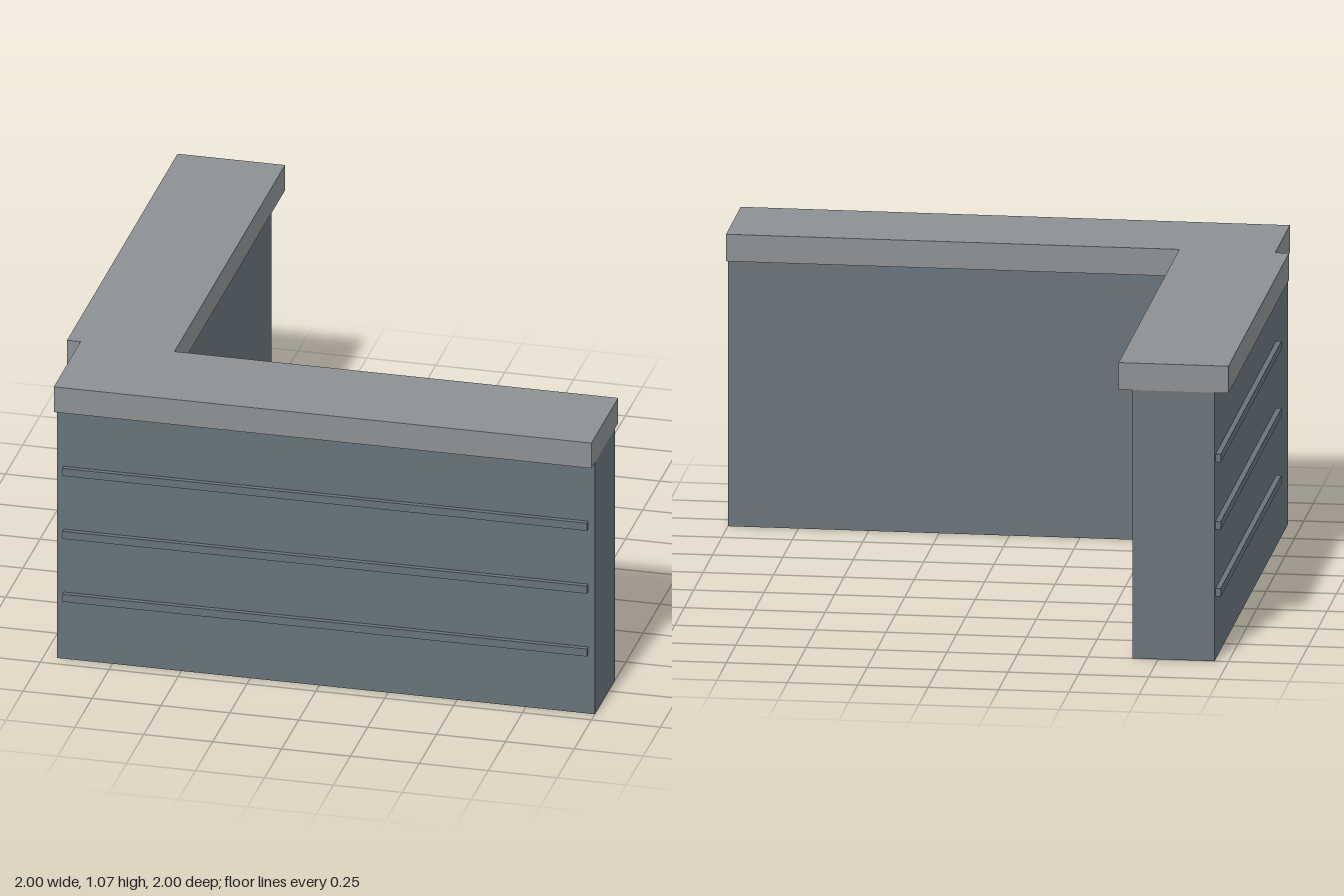
import * as THREE from 'three';

export function createModel() {
  const model = new THREE.Group();
  model.name = 'cornerCounter';

  const panelMat = new THREE.MeshStandardMaterial({ color: 0x667279 });
  panelMat.name = 'slate panel';
  const topMat = new THREE.MeshStandardMaterial({ color: 0x8b9092 });
  topMat.name = 'grey worktop';

  // Box given by its min and max corners
  function box(name, mat, [x0, y0, z0], [x1, y1, z1]) {
    const geo = new THREE.BoxGeometry(x1 - x0, y1 - y0, z1 - z0);
    const mesh = new THREE.Mesh(geo, mat);
    mesh.position.set((x0 + x1) / 2, (y0 + y1) / 2, (z0 + z1) / 2);
    mesh.name = name;
    model.add(mesh);
  }

  const bodyTop = 0.976, top = 1.074;

  // Counter bodies, meeting in an L at the front corner
  box('frontBody', panelMat, [-0.951, 0, 0.659], [1, bodyTop, 0.951]);
  box('sideBody', panelMat, [-0.951, 0, -1], [-0.659, bodyTop, 0.659]);

  // Overhanging worktops; the side one stops behind the front one
  box('frontWorktop', topMat, [-0.951, bodyTop, 0.61], [1, top, 1]);
  box('sideWorktop', topMat, [-1, bodyTop, -1], [-0.61, top, 0.61]);

  // Three raised trim strips on each outer face
  for (const y of [0.244, 0.488, 0.732]) {
    const lo = y - 0.0146, hi = y + 0.0146;
    box('frontTrim', panelMat, [-0.927, lo, 0.951], [0.976, hi, 0.97]);
    box('sideTrim', panelMat, [-0.97, lo, -0.976], [-0.951, hi, 0.634]);
  }

  return model;
}
